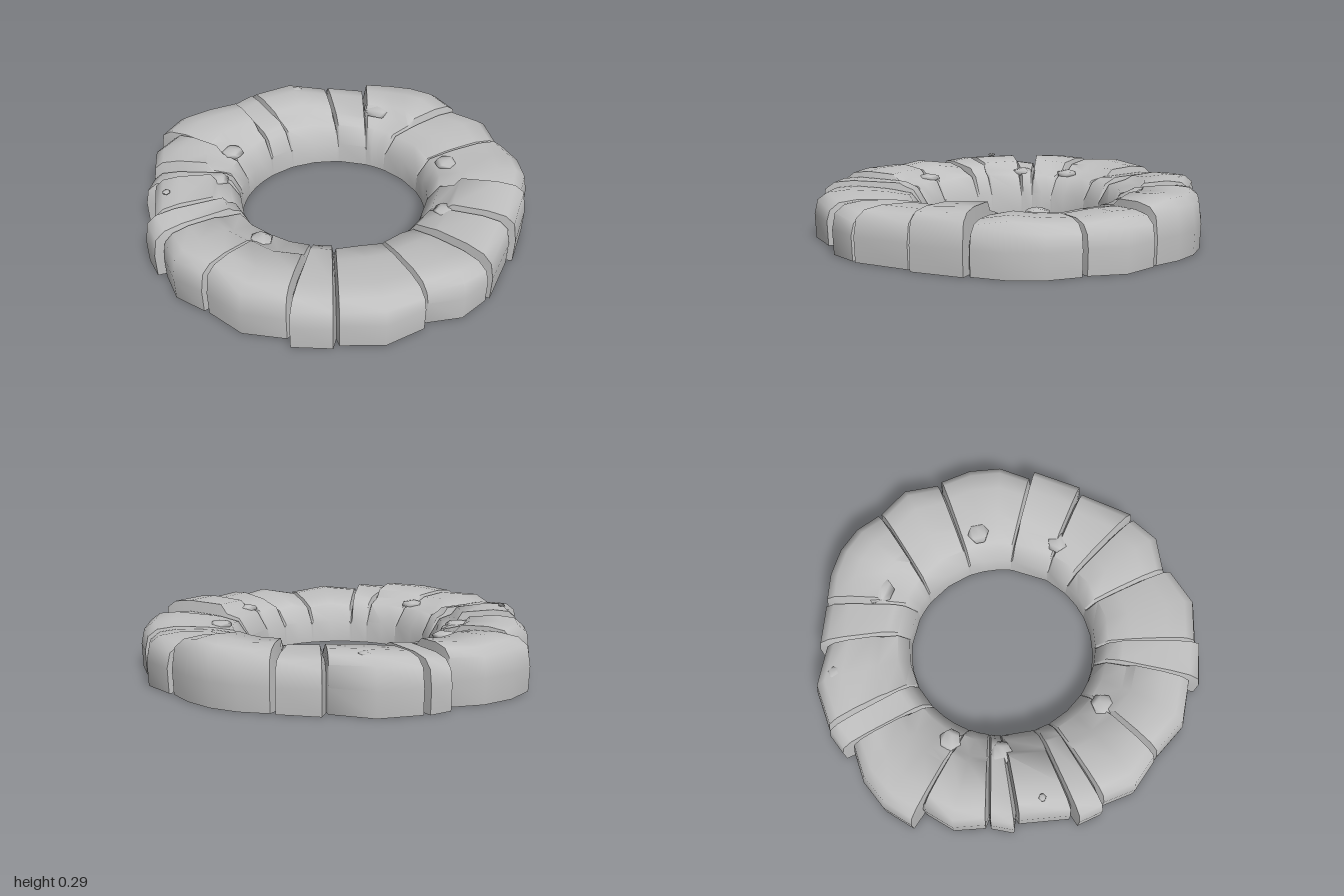
import * as THREE from 'three';
import { toCreasedNormals } from 'three/addons/utils/BufferGeometryUtils.js';

const INNER_R = 0.475, CENTRE_Z = -0.015;
const { lerp, clamp, degToRad } = THREE.MathUtils;
const polar = (angle, r) => [Math.cos(degToRad(angle)) * r, Math.sin(degToRad(angle)) * r];

// Each stone: outer start angle, inner start angle, height, outer radius at its start and end
const STONES = [
  [0, 0, 0.245, 0.98, 0.95], [30.5, 27, 0.285, 0.965, 0.955], [47.5, 52, 0.255, 0.93, 0.985],
  [66, 67, 0.235, 0.98, 0.93], [87, 87, 0.235, 0.96, 0.98], [112.5, 113, 0.26, 1, 1.01],
  [125, 124, 0.275, 0.96, 0.96], [151, 145, 0.265, 0.965, 0.955], [172, 172, 0.27, 0.99, 0.99],
  [181, 182, 0.29, 0.945, 0.915], [198, 202, 0.25, 0.96, 0.94], [206.5, 209, 0.285, 0.94, 0.95],
  [226.5, 222, 0.27, 1.04, 0.94], [255, 248, 0.25, 0.99, 1], [263, 264, 0.27, 0.99, 0.91],
  [289, 296, 0.255, 0.95, 0.95], [303, 315, 0.285, 0.945, 0.97], [338, 328, 0.245, 0.98, 0.97]
];

// Stone i, counted on round the ring, with its width in degrees
function stoneAt(i) {
  const n = STONES.length, turn = 360 * Math.floor(i / n), k = i - n * Math.floor(i / n);
  const [outer, inner, height, r0, r1] = STONES[k];
  const width = (k + 1 < n ? STONES[k + 1][0] : 360) - outer;
  const shoulder = clamp(width / 50, 0.22, 0.42);
  return { outer: outer + turn, inner: inner + turn, height, r0, r1, width, shoulder };
}

// Cross-section from the inner foot, over the top, to the outer foot
function section(innerAngle, outerAngle, radius, height, shoulder, innerTop) {
  const [ix, iz] = polar(innerAngle, INNER_R), [ox, oz] = polar(outerAngle, radius);
  const ledge = Math.min(0.225, height - 0.015);
  const profile = [
    [0, 0], [0.01, innerTop], [Math.min(0.13, shoulder * 0.45), ledge - 0.02],
    [shoulder * 0.8, ledge], [shoulder, height - 0.01], [0.7, height],
    [0.88, height - 0.01], [0.97, height - 0.045], [1, 0.12], [0.99, 0]
  ];
  return profile.map(([t, y]) => [lerp(ix, ox, t), y, lerp(iz + CENTRE_Z, oz, t)]);
}

// Low shared section in the crevice between two neighbouring stones
function seam(a, b) {
  const height = Math.min(a.height, b.height) - 0.05;
  return section(b.inner, b.outer, (a.r1 + b.r0) * 0.475, height, (a.shoulder + b.shoulder) / 2, 0.1);
}

function stoneGeometry(i) {
  const s = stoneAt(i), next = stoneAt(i + 1);
  const count = Math.max(2, Math.round(s.width / 7.5));
  const sections = [seam(stoneAt(i - 1), s)];
  for (let k = 0; k < count; k++) {
    const t = k / (count - 1);
    // The outline bulges between the stone's corners, and its uneven top dips at the ends
    const bulge = 0.035 * Math.sin(Math.PI * t);
    const dip = (k === 0 || k === count - 1 ? 0.01 : 0) + 0.008 * Math.sin(i * 5 + k * 2.4);
    sections.push(section(
      lerp(s.inner + 1, next.inner - 1, t), lerp(s.outer + 0.8, next.outer - 0.8, t),
      lerp(s.r0, s.r1, t) + bulge, s.height - dip, s.shoulder, 0.115
    ));
  }
  sections.push(seam(s, next));

  const rows = sections[0].length, index = [];
  for (let c = 0; c < sections.length - 1; c++) {
    for (let r = 0; r < rows - 1; r++) {
      const a = c * rows + r, b = a + rows;
      index.push(a, b, a + 1, b, b + 1, a + 1);
    }
  }
  const geometry = new THREE.BufferGeometry();
  geometry.setAttribute('position', new THREE.Float32BufferAttribute(sections.flat(2), 3));
  geometry.setIndex(index);
  return toCreasedNormals(geometry, 0.95);
}

export function createModel() {
  const model = new THREE.Group();
  model.name = 'stoneRing';
  const stoneGrey = new THREE.MeshStandardMaterial({ color: 0xc0c0c0, side: THREE.DoubleSide });
  stoneGrey.name = 'stone grey';

  // Hollow stones butted around the ring
  STONES.forEach((_, i) => {
    const mesh = new THREE.Mesh(stoneGeometry(i), stoneGrey);
    mesh.name = 'stone' + (i + 1);
    model.add(mesh);
  });

  const chunkGeometry = toCreasedNormals(new THREE.DodecahedronGeometry(1), 1.2);
  function addChunk(name, angle, distance, y, size) {
    const chunk = new THREE.Mesh(chunkGeometry, stoneGrey);
    const [x, z] = polar(angle, distance);
    chunk.name = name;
    chunk.position.set(x, y, z);
    chunk.scale.set(size, size * 0.4, size);
    chunk.rotation.y = -degToRad(angle);
    model.add(chunk);
  }
  // Small chunks wedged on the inner ledge, and two pebbles on top
  [8, 49, 148, 203, 228].forEach((angle) => addChunk('ledgeChunk', angle, 0.6, 0.215, 0.06));
  addChunk('ledgeChunk', 313, 0.7, 0.235, 0.085);
  addChunk('pebble', 278, 0.87, 0.258, 0.035);
  addChunk('pebble', 189.5, 0.85, 0.28, 0.02);
  return model;
}
